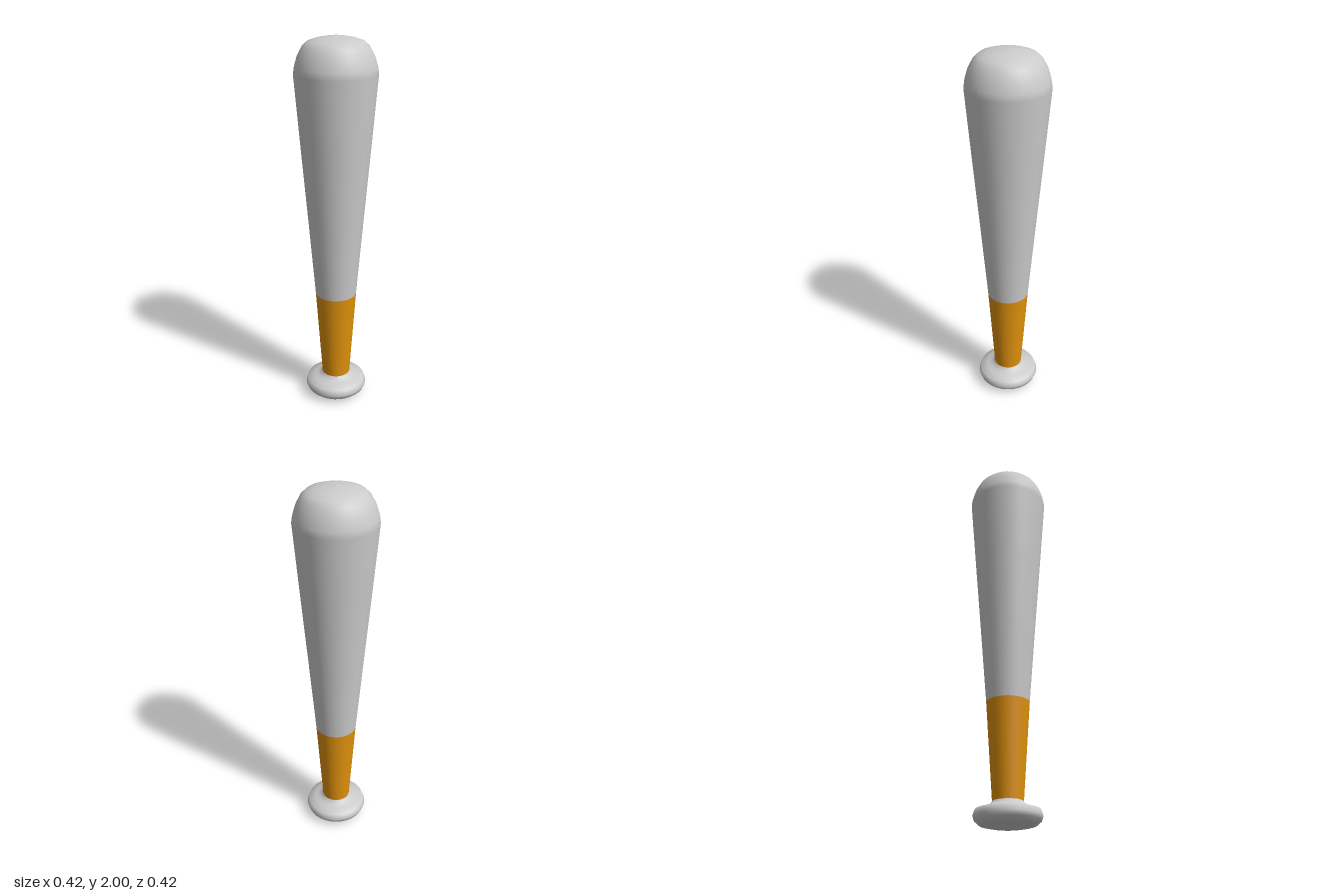
import * as THREE from 'three';

const SIDES = 32;

// Turned part from [radius, height] pairs, listed bottom to top
function turned(name, profile, color = 0xcccccc) {
  const points = profile.map(([r, y]) => new THREE.Vector2(r, y));
  const mesh = new THREE.Mesh(
    new THREE.LatheGeometry(points, SIDES),
    new THREE.MeshStandardMaterial({ color, side: THREE.DoubleSide })
  );
  mesh.name = name;
  return mesh;
}

export function createModel() {
  const bat = new THREE.Group();
  bat.name = 'bat';

  // Rounded knob with a small neck flaring into the handle
  bat.add(turned('knob', [
    [0, 0], [0.05, 0.002], [0.1, 0.005], [0.14, 0.014], [0.162, 0.033], [0.17, 0.055],
    [0.16, 0.085], [0.12, 0.097], [0.096, 0.106], [0.084, 0.115], [0.077, 0.125],
  ]));

  // Coloured grip wrap
  bat.add(turned('grip', [[0.077, 0.125], [0.111, 0.625]], 0xe0920c));

  // Tapered barrel with a domed end
  bat.add(turned('barrel', [
    [0.111, 0.625], [0.146, 1.05], [0.178, 1.43], [0.21, 1.82], [0.205, 1.855], [0.19, 1.905],
    [0.166, 1.95], [0.14, 1.974], [0.1, 1.988], [0.05, 1.997], [0, 2],
  ]));

  return bat;
}
